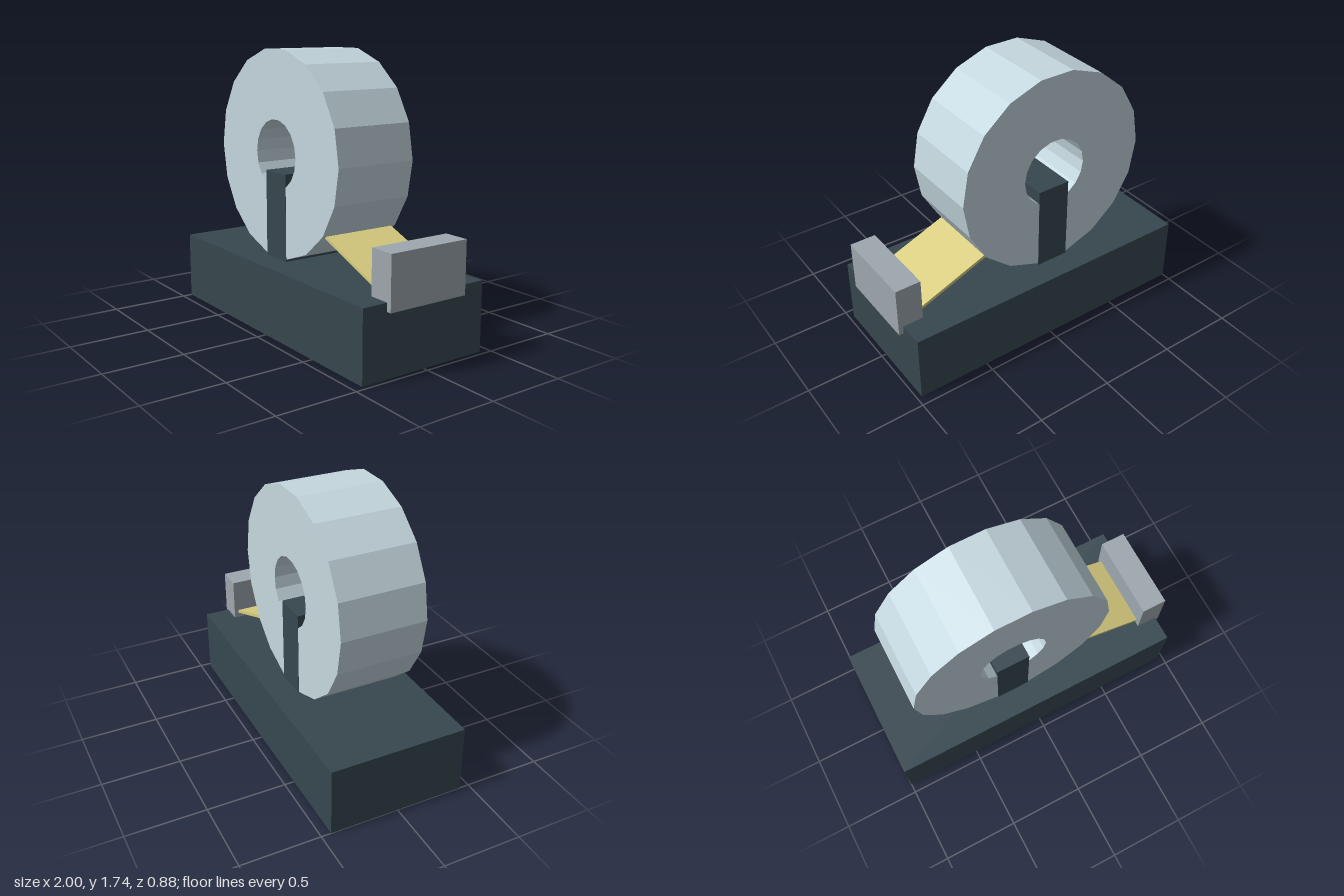
import * as THREE from 'three';

const material = (color) => new THREE.MeshStandardMaterial({ color, flatShading: true });

// Box given by its extents in x and y, and its depth centred on z = 0
function block(name, x0, x1, y0, y1, depth, mat) {
  const mesh = new THREE.Mesh(new THREE.BoxGeometry(x1 - x0, y1 - y0, depth), mat);
  mesh.position.set((x0 + x1) / 2, (y0 + y1) / 2, 0);
  mesh.name = name;
  return mesh;
}

// Corners of a regular polygon
function polygon(radius, sides) {
  return Array.from({ length: sides }, (_, i) => {
    const a = (i / sides) * Math.PI * 2;
    return new THREE.Vector2(radius * Math.cos(a), radius * Math.sin(a));
  });
}

export function createModel() {
  const group = new THREE.Group();
  group.name = 'tapeDispenser';
  const dark = material(0x37474f);
  const width = 0.546;

  // Heavy base and the post that carries the roll
  group.add(block('base', -1, 0.97, 0, 0.437, 0.875, dark));
  group.add(block('post', -0.235, -0.015, 0.42, 0.988, width + 0.002, dark));

  // Roll of tape: 18-sided ring
  const ring = new THREE.Shape(polygon(0.655, 18));
  ring.holes.push(new THREE.Path(polygon(0.22, 18)));
  const rollGeometry = new THREE.ExtrudeGeometry(ring, { depth: width, bevelEnabled: false });
  rollGeometry.translate(0, 0, -width / 2);
  const roll = new THREE.Mesh(rollGeometry, material(0xc5d8df));
  roll.position.set(-0.125, 1.097, 0);
  roll.name = 'tapeRoll';
  group.add(roll);

  // Loose strip running from the roll down to the cutter
  const start = new THREE.Vector2(0.33, 0.68);
  const end = new THREE.Vector2(0.86, 0.471);
  const run = end.clone().sub(start);
  const strip = new THREE.Mesh(new THREE.BoxGeometry(run.length(), 0.02, 0.488), material(0xd9cd80));
  strip.position.set((start.x + end.x) / 2, (start.y + end.y) / 2, 0);
  strip.rotation.z = run.angle();
  strip.name = 'tapeStrip';
  group.add(strip);

  // Cutter block overhanging the end of the base
  group.add(block('cutter', 0.835, 1, 0.385, 0.712, width, material(0x9ea8af)));

  return group;
}
